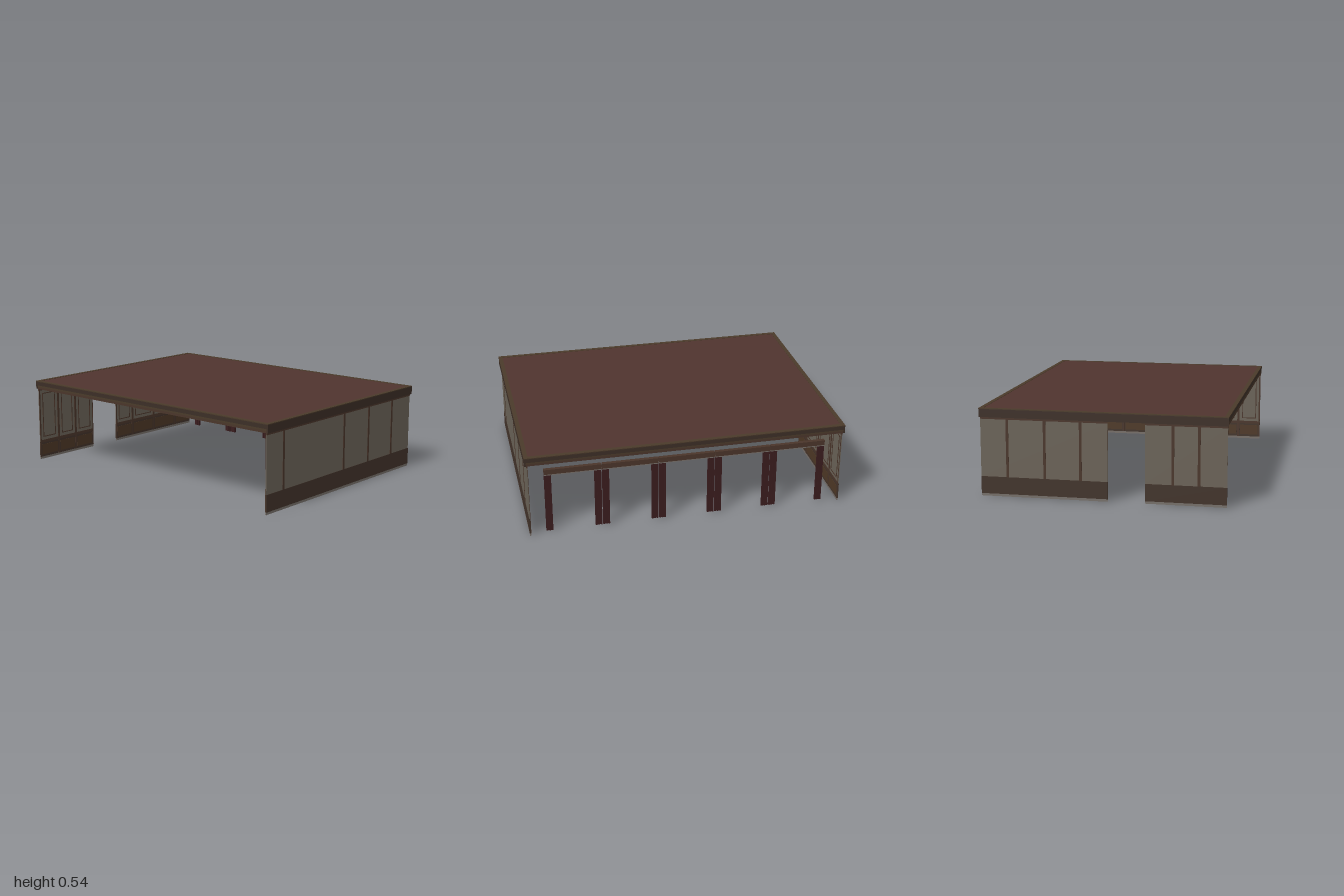
import * as THREE from 'three';

const paint = (color) => new THREE.MeshStandardMaterial({ color });
const MAT = {
  roof: paint(0x50342e), rim: paint(0x4a3a2a), fascia: paint(0x3c2e26), trim: paint(0x4a352a),
  pane: paint(0x6b6358), wainscot: paint(0x42332a), block: paint(0x4e3826), sill: paint(0x77706a),
  ceiling: paint(0x2a1c19), post: paint(0x3a1c1e),
};

// Box given by its lower and upper limits on each axis
function block(parent, name, mat, [x0, x1], [y0, y1], [z0, z1]) {
  const mesh = new THREE.Mesh(new THREE.BoxGeometry(x1 - x0, y1 - y0, z1 - z0), mat);
  mesh.position.set((x0 + x1) / 2, (y0 + y1) / 2, (z0 + z1) / 2);
  mesh.name = name;
  parent.add(mesh);
}

// Four bars forming a rectangular ring that lies flat
function ring(parent, name, mat, hx, hz, w, y) {
  for (const s of [-1, 1]) {
    const xs = s > 0 ? [hx - w, hx] : [-hx, w - hx];
    const zs = s > 0 ? [hz - w, hz] : [-hz, w - hz];
    block(parent, name, mat, xs, y, [-hz, hz]);
    block(parent, name, mat, [w - hx, hx - w], y, zs);
  }
}

// Thin outline standing in a wall, used for the inner panel mouldings
function outline(parent, name, mat, x, [y0, y1], [z0, z1], w) {
  block(parent, name, mat, x, [y0, y0 + w], [z0, z1]);
  block(parent, name, mat, x, [y1 - w, y1], [z0, z1]);
  block(parent, name, mat, x, [y0 + w, y1 - w], [z0, z0 + w]);
  block(parent, name, mat, x, [y0 + w, y1 - w], [z1 - w, z1]);
}

// Panelled wall section along z; edges lists its ends and dividers in rising order
function wallSection(side, name, edges) {
  const wall = new THREE.Group();
  wall.name = name;
  const z = [edges[0], edges[edges.length - 1]];
  const span = (a, b) => (side > 0 ? [a, b] : [-b, -a]);
  const core = span(0.981, 0.986), thick = span(0.978, 0.988), inner = span(0.9785, 0.981);
  block(wall, 'panes', MAT.pane, core, [0.12, 0.475], z);
  block(wall, 'wainscot', MAT.wainscot, span(0.98, 0.988), [0.015, 0.12], z);
  block(wall, 'sill', MAT.sill, span(0.98, 0.987), [0, 0.015], z);
  block(wall, 'topRail', MAT.trim, thick, [0.473, 0.49], z);
  block(wall, 'innerRail', MAT.trim, inner, [0.112, 0.13], z);
  edges.forEach((e, i) => {
    const last = edges.length - 1;
    const z0 = i === 0 ? e : i === last ? e - 0.01 : e - 0.008;
    const z1 = i === last ? e : i === 0 ? e + 0.006 : e + 0.008;
    if (i > 0 && i < last) block(wall, 'mullion', MAT.trim, thick, [0.12, 0.473], [z0, z1]);
    block(wall, 'innerStile', MAT.trim, inner, [0.015, 0.473], [z0, z1]);
    if (i === last) return;
    const bay = [e + 0.028, edges[i + 1] - 0.028];
    outline(wall, 'panelMoulding', MAT.trim, inner, [0.15, 0.453], bay, 0.006);
    block(wall, 'wainscotPanel', MAT.block, inner, [0.03, 0.1], [e + 0.014, edges[i + 1] - 0.014]);
  });
  return wall;
}

// Flat roof with stepped fascia and a beamed ceiling
function makeRoof() {
  const roof = new THREE.Group();
  roof.name = 'roof';
  block(roof, 'roofSlab', MAT.roof, [-0.975, 0.975], [0.512, 0.538], [-0.727, 0.727]);
  block(roof, 'ceiling', MAT.ceiling, [-0.978, 0.978], [0.503, 0.512], [-0.735, 0.735]);
  ring(roof, 'roofRim', MAT.rim, 1, 0.752, 0.026, [0.535, 0.54]);
  ring(roof, 'upperFascia', MAT.fascia, 0.999, 0.751, 0.025, [0.51, 0.535]);
  ring(roof, 'fasciaBead', MAT.rim, 0.996, 0.749, 0.025, [0.499, 0.51]);
  ring(roof, 'lowerFascia', MAT.trim, 0.988, 0.746, 0.02, [0.484, 0.499]);
  // End returns of the upper fascia at the side eaves
  for (const s of [-1, 1])
    block(roof, 'sideEave', MAT.fascia, s > 0 ? [0.989, 0.999] : [-0.999, -0.989], [0.486, 0.51], [-0.751, 0.751]);
  for (let i = -3; i <= 3; i++)
    block(roof, 'ceilingBeam', MAT.trim, [i * 0.25 - 0.012, i * 0.25 + 0.012], [0.486, 0.504], [-0.727, 0.727]);
  for (let i = -2; i <= 2; i++)
    block(roof, 'ceilingBatten', MAT.ceiling, [-0.97, 0.97], [0.493, 0.504], [i * 0.25 - 0.008, i * 0.25 + 0.008]);
  return roof;
}

// One bay of the rear screen: two ribbed posts carrying a lintel
function makeScreenBay() {
  const bay = new THREE.Group();
  bay.name = 'screenBay';
  const half = 0.1745;
  for (const s of [-1, 1]) {
    const c = s * (half - 0.0215);
    block(bay, 'post', MAT.post, [c - 0.0215, c + 0.0215], [0.005, 0.395], [-0.005, 0.005]);
    for (const d of [-0.0165, 0, 0.0165])
      block(bay, 'postRib', MAT.post, [c + d - 0.004, c + d + 0.004], [0.005, 0.395], [-0.008, 0.008]);
  }
  block(bay, 'lintel', MAT.trim, [-half, half], [0.4, 0.432], [-0.012, 0.012]);
  block(bay, 'lintelStrip', MAT.sill, [-half, half], [0.393, 0.4], [-0.01, 0.01]);
  return bay;
}

export function createModel() {
  const model = new THREE.Group();
  model.name = 'pavilion';
  model.add(makeRoof());

  // Full wall on the left, and a wall with a doorway on the right
  model.add(wallSection(1, 'leftWall', [-0.746, -0.538, -0.277, -0.012, 0.588, 0.746]));
  model.add(wallSection(-1, 'rightWallBack', [-0.746, -0.58, -0.35, -0.13, 0.035]));
  model.add(wallSection(-1, 'rightWallFront', [0.26, 0.425, 0.58, 0.746]));

  // Row of screen bays near the back edge
  for (let i = -2; i <= 2; i++) {
    const bay = makeScreenBay();
    bay.position.set(i * 0.354, 0, -0.71);
    model.add(bay);
  }
  return model;
}
